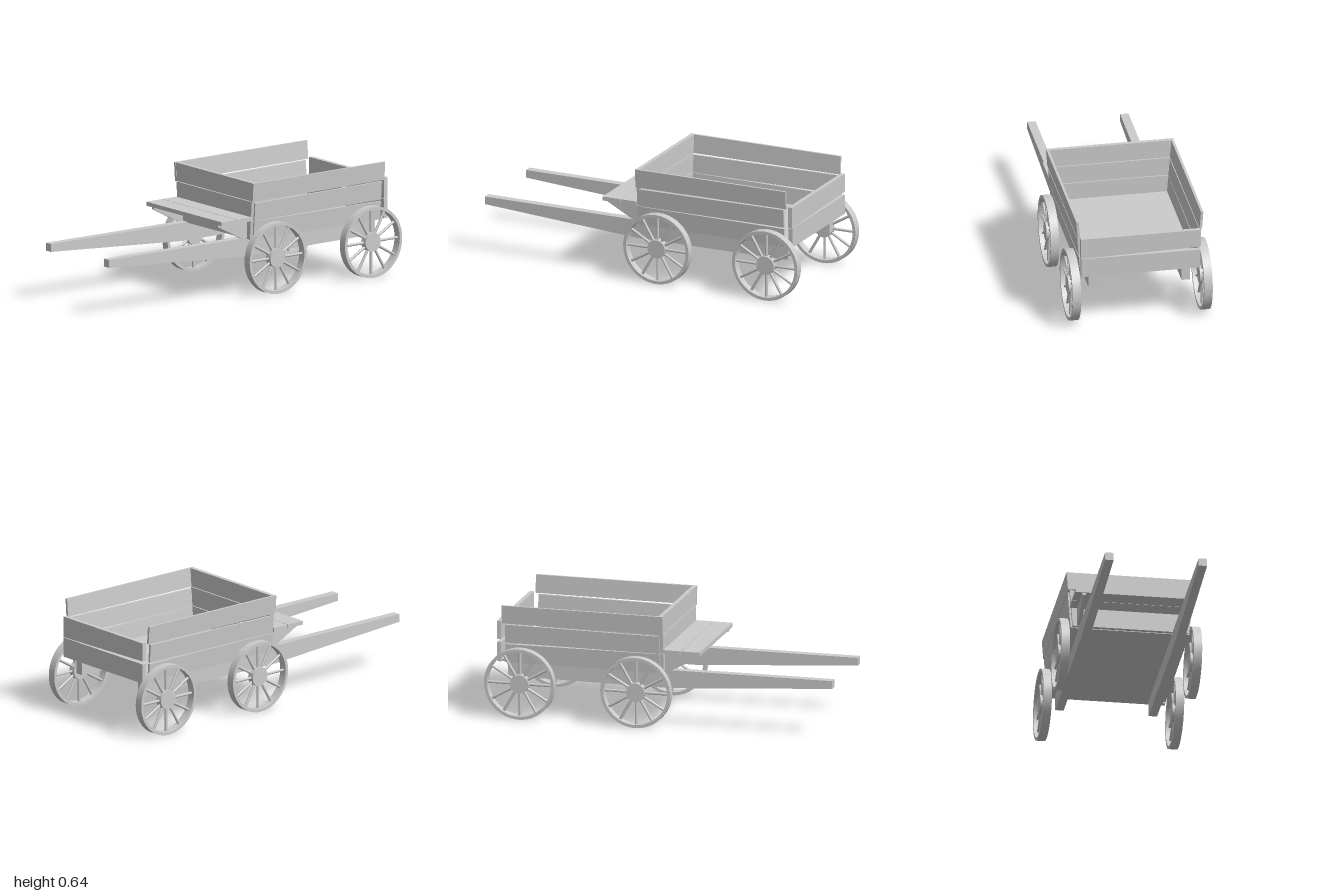
import * as THREE from 'three';
import { toCreasedNormals } from 'three/addons/utils/BufferGeometryUtils.js';

const material = new THREE.MeshStandardMaterial({ color: 0xcccccc });

function add(parent, name, geometry, x = 0, y = 0, z = 0) {
  const mesh = new THREE.Mesh(geometry, material);
  mesh.name = name;
  mesh.position.set(x, y, z);
  parent.add(mesh);
  return mesh;
}

// Box given by its min and max on each axis
function board(parent, name, x0, x1, y0, y1, z0, z1) {
  return add(parent, name, new THREE.BoxGeometry(x1 - x0, y1 - y0, z1 - z0),
    (x0 + x1) / 2, (y0 + y1) / 2, (z0 + z1) / 2);
}

// Outer face of the flared sides at a height
const flare = (y) => 0.337 + (y - 0.315) * 0.078;

// Plank whose vertices are moved by a rule taking -1..1 box coordinates
function shapedPlank(parent, name, rule) {
  const geo = new THREE.BoxGeometry(2, 2, 2);
  const p = geo.attributes.position;
  for (let i = 0; i < p.count; i++) p.setXYZ(i, ...rule(p.getX(i), p.getY(i), p.getZ(i)));
  geo.computeVertexNormals();
  return add(parent, name, geo);
}

// Outline in (z, y), extruded sideways from x0 to x1
function sideProfile(parent, name, points, x0, x1) {
  const shape = new THREE.Shape(points.map(([z, y]) => new THREE.Vector2(-z, y)));
  const geo = new THREE.ExtrudeGeometry(shape, { depth: x1 - x0, bevelEnabled: false });
  geo.rotateY(Math.PI / 2);
  return add(parent, name, geo, x0);
}

function makeWheel() {
  const wheel = new THREE.Group();
  const R = 0.2035, inner = 0.186, width = 0.048;
  const ring = new THREE.Shape().absarc(0, 0, R, 0, Math.PI * 2);
  ring.holes.push(new THREE.Path().absarc(0, 0, inner, 0, Math.PI * 2, true));
  const rim = new THREE.ExtrudeGeometry(ring, { depth: width, bevelEnabled: false, curveSegments: 24 });
  rim.translate(0, 0, -width / 2).rotateY(Math.PI / 2);
  add(wheel, 'rim', toCreasedNormals(rim, 0.6));
  add(wheel, 'hub', new THREE.CylinderGeometry(0.054, 0.054, 0.04, 24).rotateZ(Math.PI / 2));
  const count = 12;
  for (let i = 0; i < count; i++) {
    const spoke = new THREE.CylinderGeometry(0.008, 0.008, 0.15, 8);
    spoke.translate(0, 0.115, 0).rotateX((i / count) * Math.PI * 2);
    add(wheel, 'spoke', spoke);
  }
  return wheel;
}

export function createModel() {
  const cart = new THREE.Group();
  cart.name = 'cart';

  // Wagon bed
  board(cart, 'floor', -0.325, 0.325, 0.313, 0.327, -0.915, 0.005);

  // Front wall, each board a little wider towards the top
  for (const [y0, y1] of [[0.317, 0.426], [0.43, 0.536], [0.54, 0.645]]) {
    shapedPlank(cart, 'frontBoard', (x, y, z) => {
      const h = y > 0 ? y1 : y0;
      return [x * (flare(h) - 0.01), h, z > 0 ? 0.028 : 0.004];
    });
  }

  // Tailboard, its upper board set at a slight slant
  board(cart, 'tailBoard', -0.34, 0.34, 0.315, 0.427, -0.94, -0.915);
  shapedPlank(cart, 'tailBoard', (x, y, z) => [
    x * 0.342, y > 0 ? 0.55 : (x < 0 ? 0.445 : 0.43), z > 0 ? -0.915 : -0.94]);

  // Side planks: bottom and top edge at the front, then at the back, and the z ends
  const sides = [
    [0.313, 0.424, 0.313, 0.419, 0.01, -0.89],
    [0.426, 0.528, 0.428, 0.534, 0.01, -0.89],
    [0.538, 0.645, 0.541, 0.645, 0.03, -0.907],
  ];
  for (const s of [-1, 1]) {
    for (const [f0, f1, b0, b1, front, back] of sides) {
      shapedPlank(cart, 'sidePlank', (x, y, z) => {
        const h = z > 0 ? (y > 0 ? f1 : f0) : (y > 0 ? b1 : b0);
        return [s * flare(h) + (x * s > 0 ? 0 : -s * 0.014), h, z > 0 ? front : back];
      });
    }

    // Long tapered shaft running under the bed
    sideProfile(cart, 'shaft',
      [[1, 0.28], [1, 0.325], [-0.89, 0.318], [-0.89, 0.22], [0.06, 0.217]].reverse(),
      s * 0.265 - 0.024, s * 0.265 + 0.024);

    // Seat bracket
    sideProfile(cart, 'seatBracket',
      [[0.235, 0.426], [0.028, 0.426], [0.028, 0.32], [0.06, 0.32], [0.235, 0.413]].reverse(),
      s * 0.292 - 0.01, s * 0.292 + 0.01);

    // Wheels
    for (const [name, z] of [['frontWheel', -0.118], ['backWheel', -0.796]]) {
      const wheel = makeWheel();
      wheel.name = name;
      wheel.position.set(s * 0.375, 0.2035, z);
      cart.add(wheel);
    }
  }

  // Seat made of two boards
  board(cart, 'seatBoard', -0.342, 0.342, 0.426, 0.449, 0.029, 0.13);
  board(cart, 'seatBoard', -0.342, 0.342, 0.426, 0.449, 0.133, 0.242);

  return cart;
}
